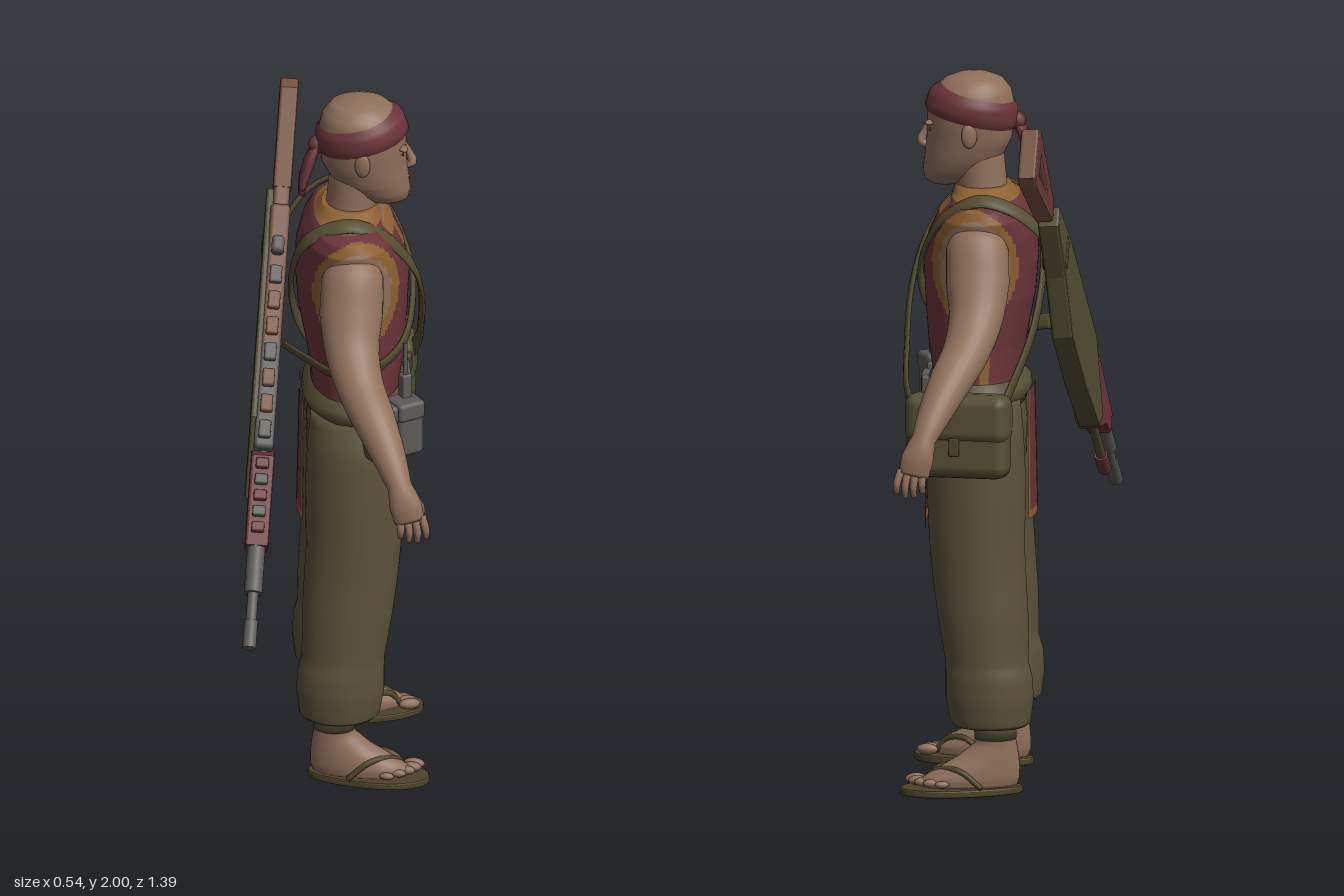
import * as THREE from 'three';
import { RoundedBoxGeometry } from 'three/addons/geometries/RoundedBoxGeometry.js';

const mat = (name, color) => Object.assign(new THREE.MeshStandardMaterial({ color, side: THREE.DoubleSide }), { name });
const V = (x, y, z) => new THREE.Vector3(x, y, z);
const TAU = Math.PI * 2;

function add(parent, geo, material, name, pos = [0, 0, 0], rot = [0, 0, 0]) {
  const m = new THREE.Mesh(geo, material);
  m.name = name;
  m.position.set(...pos);
  m.rotation.set(...rot);
  parent.add(m);
  return m;
}

// Surface from f(u, v); pick(point, u, v) chooses the material of each cell
function grid(f, nu, nv, wrap, pick) {
  const pos = [], lists = [], w = wrap ? nu : nu + 1;
  for (let j = 0; j <= nv; j++) for (let i = 0; i < w; i++) pos.push(...f(i / nu, j / nv, j).toArray());
  for (let j = 0; j < nv; j++) for (let i = 0; i < nu; i++) {
    const k = pick ? pick(f((i + 0.5) / nu, (j + 0.5) / nv, j + 0.5), (i + 0.5) / nu, (j + 0.5) / nv) : 0;
    const a = j * w + i, b = j * w + (i + 1) % w;
    (lists[k] ??= []).push(a, a + w, b, b, a + w, b + w);
  }
  const g = new THREE.BufferGeometry();
  g.setAttribute('position', new THREE.Float32BufferAttribute(pos, 3));
  g.setIndex(lists.flat());
  let start = 0;
  if (pick) lists.forEach((l, k) => { g.addGroup(start, l.length, k); start += l.length; });
  g.computeVertexNormals();
  return g;
}

const lerpRow = (rows, t) => {
  const s = Math.min(Math.max(t, 0), 1) * (rows.length - 1), i = Math.min(Math.floor(s), rows.length - 2);
  return rows[i].map((v, k) => v + (rows[i + 1][k] - v) * (s - i));
};
// Point on a stack of level rings [y, centreX, centreZ, radiusX, radiusZ]
const ringPoint = ([y, cx, cz, rx, rz], a, off = 0, p = 2) => {
  const e = (c) => Math.sign(c) * Math.abs(c) ** (2 / p);
  return V(cx + (rx + off) * e(Math.cos(a)), y, cz + (rz + off) * e(Math.sin(a)));
};
const atHeight = (rows, y, a, off, p) => {
  let i = 0;
  while (i < rows.length - 2 && rows[i + 1][0] < y) i++;
  const t = (i + (y - rows[i][0]) / (rows[i + 1][0] - rows[i][0])) / (rows.length - 1);
  return ringPoint([y, ...lerpRow(rows, t).slice(1)], a, off, p);
};
// Closed body through level rings
function loft(rows, seg = 32, per = 3, p = 2, pick) {
  const n = (rows.length - 1) * per + 2;
  return grid((u, v, j) => {
    const r = lerpRow(rows, (j - 1) / (n - 2));
    if (j === 0 || j === n) r[3] = r[4] = 0.0005;
    return ringPoint(r, u * TAU, 0, p);
  }, seg, n, true, pick);
}
// Closed limb or band along points [x, y, z, radiusA, radiusB]; radiusA lies along ref(point)
function sweep(pts, ref, seg = 16, per = 4) {
  const curve = new THREE.CatmullRomCurve3(pts.map((q) => V(q[0], q[1], q[2])));
  const n = (pts.length - 1) * per + 2;
  return grid((u, v, j) => {
    const t = Math.min(Math.max((j - 1) / (n - 2), 0), 1), c = curve.getPoint(t), T = curve.getTangent(t), N = ref(c);
    N.addScaledVector(T, -N.dot(T)).normalize();
    const B = N.clone().cross(T), r = lerpRow(pts, t), k = j === 0 || j === n ? 0.01 : 1;
    return c.addScaledVector(N, Math.cos(u * TAU) * r[3] * k).addScaledVector(B, Math.sin(u * TAU) * r[4] * k);
  }, seg, n, true);
}
const alongX = () => V(1, 0, 0), alongY = () => V(0, 1, 0);
// Flat outline with thickness centred on z
function plate(pts, depth, hole, bevel = 0.008) {
  const s = new THREE.Shape(pts.map((q) => new THREE.Vector2(...q)));
  if (hole) s.holes.push(new THREE.Path(hole.map((q) => new THREE.Vector2(...q))));
  return new THREE.ExtrudeGeometry(s, { depth, bevelSize: bevel, bevelThickness: bevel, bevelSegments: 2 }).translate(0, 0, -depth / 2);
}
const box = (x, y, z, r = 0.012) => new RoundedBoxGeometry(x, y, z, 2, r);

export function createModel() {
  const skin = mat('skin', 0x8f6f5a), red = mat('red cloth', 0x6b343a), gold = mat('gold trim', 0x8e602f), wood = mat('worn wood', 0x75513f);
  const olive = mat('olive trousers', 0x5a5138), canvas = mat('canvas', 0x544e32), grey = mat('grey metal', 0x5b5a57);
  const sole = mat('sandal', 0x4c4328), dark = mat('dark brown', 0x4a362b);
  const model = new THREE.Group();
  const body = new THREE.Group();
  body.name = 'figure';
  body.position.z = -0.07;
  model.add(body);

  // Sleeveless shirt with gold collar, placket, armholes and side seams
  const torso = [[1.08, .065, 0, .13, .215], [1.16, .07, 0, .122, .203], [1.25, .07, 0, .135, .197], [1.38, .062, 0, .152, .202],
    [1.48, .06, 0, .158, .208], [1.55, .055, 0, .15, .22], [1.61, .05, 0, .128, .234], [1.645, .045, 0, .1, .222], [1.665, .05, 0, .088, .13], [1.685, .055, 0, .078, .09]];
  add(body, loft(torso, 96, 9, 2.3, (p, u) => {
    const a = Math.abs(u > 0.5 ? u - 1 : u) * TAU;
    const arm = ((p.x - .065) / .12) ** 2 + ((p.y - 1.485) / .165) ** 2;
    if (p.y > 1.64 && a < 0.2) return 2;
    if (p.y > 1.655 || (p.y > 1.615 && a < 0.33) || (p.y > 1.54 && a < 0.045)) return 1;
    if (Math.abs(p.z) > .14 && arm < 1) return arm < .68 ? 2 : 1;
    return Math.abs(a - 1.8) < 0.08 && p.y < 1.33 ? 1 : 0;
  }), [red, gold, skin], 'shirt');

  // Hanging front and back flaps with gold borders
  for (const [name, x0, dir, yb] of [['frontFlap', .214, 1, .725], ['backFlap', -.094, -1, .755]])
    add(body, grid((u, v) => {
      const w = (u - .5) * (.28 - v * .05);
      return V(x0 - dir * (w * w * .6 + .008 * v), yb + v * (1.12 - yb) + Math.abs(w) * .06 * (1 - v), w);
    }, 12, 16, false, (p, u, v) => (u < .084 || u > .916 || v < .063 ? 1 : 0)), [red, gold], name);

  // Belt with buckle and loops
  add(body, grid((u, v, j) => atHeight(torso, 1.09 + v * .065, u * TAU, j % 3 ? .02 : .002, 2.3), 48, 3, true), canvas, 'belt');
  add(body, box(.02, .06, .08, .006), grey, 'buckle', [.212, 1.125, -.03]);
  for (const w of [-.11, .06]) add(body, box(.02, .075, .03, .006), grey, 'beltLoop', [.206, 1.122, w]);

  // Trousers
  add(body, loft([[.84, .065, 0, .1, .1], [.92, .065, 0, .13, .2], [1.02, .065, 0, .132, .225], [1.12, .067, 0, .125, .21]], 40), olive, 'hips');
  const legRows = [[.19, .02, .178, .1, .085], [.2, .02, .178, .112, .096], [.27, .022, .18, .122, .1], [.33, .024, .18, .12, .098], [.37, .03, .177, .115, .094], [.5, .042, .167, .126, .1],
    [.6, .052, .158, .13, .102], [.7, .06, .148, .132, .11], [.85, .063, .13, .138, .124], [1, .065, .125, .133, .12], [1.1, .065, .11, .122, .1]];
  // Right arm path, mirrored for the left
  const armRows = [[.055, 1.58, .16, .06, .05], [.055, 1.54, .2, .086, .068], [.05, 1.45, .245, .088, .066], [.05, 1.37, .295, .076, .06], [.07, 1.29, .37, .066, .056],
    [.105, 1.225, .445, .06, .052], [.145, 1.145, .52, .047, .042], [.172, 1.08, .572, .034, .03], [.188, 1.03, .592, .045, .026], [.198, .985, .596, .042, .022]];

  for (const side of [1, -1]) {
    const half = new THREE.Group();
    half.name = side > 0 ? 'rightSide' : 'leftSide';
    half.scale.z = side;
    body.add(half);
    add(half, loft(legRows, 32, 3), olive, 'trouserLeg');
    add(half, sweep(armRows, alongX, 24, 5), skin, 'arm');
    for (let i = 0; i < 4; i++) {
      const x = .167 + i * .021, len = [.048, .06, .062, .05][i];
      add(half, sweep([[x + .003, 1, .596, .011, .011], [x + .008 + i * .002, .985 - len * .5, .608, .0105, .0105], [x + .006 + i * .003, .985 - len, .6, .008, .008]], alongX, 8), skin, 'finger');
    }
    add(half, sweep([[.2, 1.055, .575, .014, .014], [.228, 1.01, .55, .013, .013], [.235, .97, .53, .009, .009]], alongX, 8), skin, 'thumb');

    // Foot in a thonged sandal, toes turned out
    const foot = new THREE.Group();
    foot.name = 'foot';
    foot.position.set(0, 0, .188);
    foot.rotation.y = -0.17;
    half.add(foot);
    add(foot, loft([[.022, .08, 0, .135, .05], [.045, .075, 0, .138, .054], [.075, .05, 0, .113, .052], [.105, .025, 0, .085, .048], [.14, .006, 0, .06, .044], [.17, .005, 0, .054, .045]], 28), skin, 'footAndAnkle');
    add(foot, loft([[.155, .005, 0, .058, .049], [.25, .008, 0, .062, .053]], 24), olive, 'innerCuff');
    for (let i = 0; i < 5; i++)
      add(foot, new THREE.SphereGeometry(.018 - i * .0015, 10, 8).scale(1.7, .85, .9), skin, 'toe', [.222 - i * i * .004, .036, -.04 + i * .023]);
    const outline = [];
    for (let i = 0; i < 28; i++) {
      const a = i / 28 * TAU;
      outline.push([.1 + .165 * Math.cos(a), (.064 + .014 * Math.cos(a)) * Math.sin(a)]);
    }
    add(foot, plate(outline, .012, null, .005).rotateX(Math.PI / 2), sole, 'sandalSole', [0, .011, 0]);
    for (const s of [1, -1])
      add(foot, sweep([[.2, .03, -.025, .008, .008], [.17, .066, -.015 + s * .01, .008, .01], [.11, .072, s * .043, .008, .011], [.05, .024, s * .062, .008, .01]], alongY, 8), sole, 'sandalStrap');

    // Face and ear of this side
    add(half, new THREE.SphereGeometry(.03, 12, 10).scale(.75, 1.2, .35), skin, 'ear', [.085, 1.838, .106], [0, -.3, 0]);
    add(half, new THREE.SphereGeometry(.014, 10, 8).scale(.4, .32, 1), dark, 'eye', [.196, 1.843, .042], [0, .3, 0]);
    add(half, new THREE.SphereGeometry(.03, 12, 8).scale(.5, .25, 1), skin, 'browRidge', [.196, 1.862, .042], [0, .35, 0]);
  }

  // Head, neck and nose
  const head = [[1.683, .16, 0, .035, .03], [1.695, .15, 0, .066, .052], [1.72, .132, 0, .09, .072], [1.76, .11, 0, .108, .09], [1.81, .094, 0, .118, .101],
    [1.86, .09, 0, .121, .108], [1.91, .088, 0, .12, .11], [1.95, .085, 0, .108, .1], [1.98, .08, 0, .08, .075], [1.994, .08, 0, .045, .042], [2, .08, 0, .005, .005]];
  add(body, loft(head, 36, 3), skin, 'head');
  add(body, loft([[1.6, .05, 0, .085, .09], [1.68, .06, 0, .072, .08], [1.8, .075, 0, .075, .078]], 28), skin, 'neck');
  add(body, sweep([[.198, 1.86, 0, .01, .01], [.218, 1.825, 0, .011, .012], [.226, 1.8, 0, .014, .02], [.205, 1.788, 0, .01, .016]], alongX, 12), skin, 'nose');
  add(body, new THREE.SphereGeometry(.028, 12, 8).scale(.4, .12, 1), dark, 'mouth', [.209, 1.752, 0]);
  add(body, new THREE.SphereGeometry(.03, 12, 8).scale(.5, .7, 1), skin, 'chin', [.2, 1.708, 0]);

  // Headband tilted down to the back, with a knotted tail
  add(body, grid((u, v, j) => {
    const a = u * TAU, y = 1.866 + v * .078 + .026 * Math.cos(a);
    return atHeight(head, y, a, j % 5 ? .009 : .001);
  }, 40, 5, true), red, 'headband');
  add(body, new THREE.SphereGeometry(.026, 12, 10), red, 'headbandKnot', [-.036, 1.86, .01]);
  for (const s of [0, 1])
    add(body, sweep([[-.033, 1.865, .01, .012, .02], [-.056, 1.82, .012 + s * .01, .016, .028], [-.072, 1.77, .016 + s * .012, .015, .03], [-.08, 1.715 + s * .02, .016 + s * .02, .01, .026]], () => V(-1, 0, 0), 12), red, 'headbandTail');

  // Crossed shoulder straps
  const strap = (name, pts) => add(body, sweep(pts.map((q) => [...q, .008, .025]), (p) => V(p.x - .06, p.y - 1.38, p.z), 10, 6), canvas, name);
  strap('bagStrap', [[0, 1.06, -.25], [-.04, 1.15, -.19], [-.093, 1.3, -.08], [-.108, 1.48, .04], [-.065, 1.62, .12], [.05, 1.672, .145], [.15, 1.62, .12],
    [.217, 1.52, .06], [.25, 1.4, -.03], [.256, 1.25, -.13], [.245, 1.13, -.22], [.19, 1.04, -.27]]);
  strap('rifleStrap', [[-.14, 1.5, -.06], [-.11, 1.58, -.13], [-.04, 1.645, -.17], [.05, 1.67, -.18], [.15, 1.615, -.14], [.215, 1.5, -.06], [.228, 1.4, .02],
    [.195, 1.3, .125], [.1, 1.25, .202], [.01, 1.24, .19], [-.07, 1.26, .13], [-.13, 1.28, .08]]);

  // Satchel on the left hip
  const bag = new THREE.Group();
  bag.name = 'satchel';
  bag.position.set(.1, 1.02, -.27);
  bag.rotation.set(.1, -.16, 0);
  body.add(bag);
  add(bag, box(.29, .22, .1, .035), canvas, 'satchelBody');
  add(bag, box(.296, .14, .108, .035), canvas, 'satchelFlap', [0, .055, -.004]);
  add(bag, box(.03, .05, .012, .004), sole, 'satchelClasp', [0, -.02, -.058]);
  add(bag, box(.03, .06, .04, .008), sole, 'strapBuckle', [.125, .07, .04]);

  // Pouches and radio on the right hip
  const kit = new THREE.Group();
  kit.name = 'beltKit';
  kit.position.set(.165, 1.08, .21);
  kit.rotation.y = .5;
  body.add(kit);
  for (const s of [-1, 1]) {
    add(kit, box(.08, .15, .075, .015), s > 0 ? grey : canvas, 'pouch', [s * .042, -.005, 0]);
    add(kit, box(.084, .055, .082, .012), grey, 'pouchFlap', [s * .042, .055, 0]);
  }
  add(kit, box(.03, .08, .03, .006), grey, 'radio', [.05, .11, -.015]);
  add(kit, new THREE.CylinderGeometry(.006, .008, .15, 8), grey, 'aerial', [.05, .17, -.015]);

  // Rifle slung across the back: local x runs muzzle to butt, y to its underside, z away from the back
  const rifle = new THREE.Group();
  rifle.name = 'rifle';
  const U = V(.148, 1.175, -1.124).normalize(), D = V(0, -.69, -.72).normalize();
  rifle.quaternion.setFromRotationMatrix(new THREE.Matrix4().makeBasis(U, D, U.clone().cross(D)));
  rifle.position.set(-.25, .68, .69);
  model.add(rifle);
  const rod = (name, m, u0, u1, v, r) => add(rifle, new THREE.CylinderGeometry(r, r, u1 - u0, 14).rotateZ(Math.PI / 2), m, name, [(u0 + u1) / 2, v, 0]);
  rod('barrel', grey, 0, .6, 0, .015);
  rod('muzzle', grey, 0, .08, 0, .019);
  rod('gasBlock', grey, .16, .3, 0, .025);
  rod('lowerTube', canvas, .2, .45, .085, .013);
  rod('lowerTubeTip', red, .18, .25, .085, .019);
  add(rifle, plate([[.3, -.02], [.54, -.045], [.585, .04], [.5, .13], [.45, .12], [.37, .055], [.3, .035]], .05), red, 'handguard');
  for (let i = 0; i < 5; i++) add(rifle, box(.028, .025, .036, .005), i % 2 ? grey : red, 'handguardRib', [.34 + i * .045, -.04 - i * .004, 0]);
  add(rifle, box(.32, .085, .055), grey, 'receiver', [.73, -.005, 0]);
  add(rifle, box(.42, .085, .055), wood, 'rearReceiver', [1.07, -.005, 0]);
  for (let i = 0; i < 7; i++) add(rifle, box(.05, .024, .034, .006), i % 3 ? wood : grey, 'railSegment', [.62 + i * .075, -.056, 0]);
  add(rifle, box(.05, .05, .035), grey, 'rearSight', [1.15, -.07, 0]);
  add(rifle, plate([[.48, .11], [.58, .03], [.66, -.035], [1.16, -.035], [1.32, -.01], [1.32, .04], [1.16, .1], [1, .19], [.76, .19], [.52, .16]], .045), canvas, 'scabbard', [0, 0, .012]);
  add(rifle, box(.035, .1, .07, .008), sole, 'scabbardBand', [1.18, .035, .01]);
  add(rifle, box(.16, .06, .045), wood, 'stockNeck', [1.31, 0, 0]);
  add(rifle, plate([[1.34, -.025], [1.6, -.085], [1.625, -.07], [1.63, .085], [1.6, .09], [1.34, .025]], .036,
    [[1.43, -.005], [1.575, -.045], [1.585, .05], [1.43, .012]]), [red, wood], 'skeletonStock');
  return model;
}
